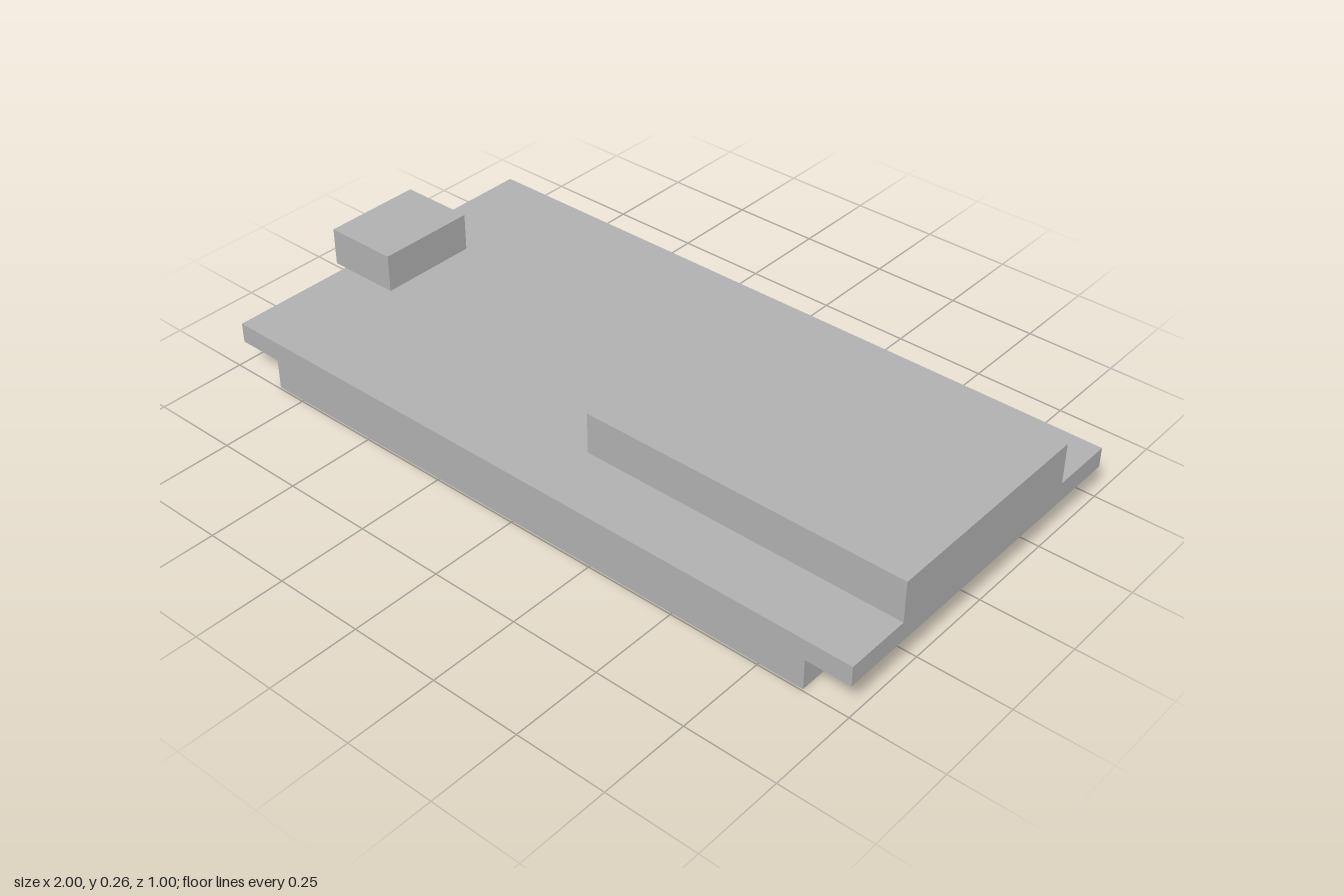
import * as THREE from 'three';

export function createModel() {
  const model = new THREE.Group();
  const grey = new THREE.MeshStandardMaterial({ color: 0xb0b0b0 });
  grey.name = 'plain grey';

  // Adds a named block spanning the given x, y and z ranges
  const block = (name, [x0, x1], [y0, y1], [z0, z1]) => {
    const mesh = new THREE.Mesh(new THREE.BoxGeometry(x1 - x0, y1 - y0, z1 - z0), grey);
    mesh.position.set((x0 + x1) / 2, (y0 + y1) / 2, (z0 + z1) / 2);
    mesh.name = name;
    model.add(mesh);
  };

  const under = 0.091, top = 0.147;

  // Flat board
  block('board', [-0.965, 1], [under, top], [-0.5, 0.5]);

  // Large and small blocks on top, at opposite ends
  block('largeConnector', [0.085, 1], [top, 0.262], [-0.32, 0.318]);
  block('smallConnector', [-1, -0.788], [top, 0.254], [-0.145, 0.139]);

  // Long rails beneath both edges
  block('frontPinRail', [-0.84, 0.873], [0, under], [0.405, 0.495]);
  block('backPinRail', [-0.84, 0.873], [0, under], [-0.493, -0.403]);

  return model;
}
